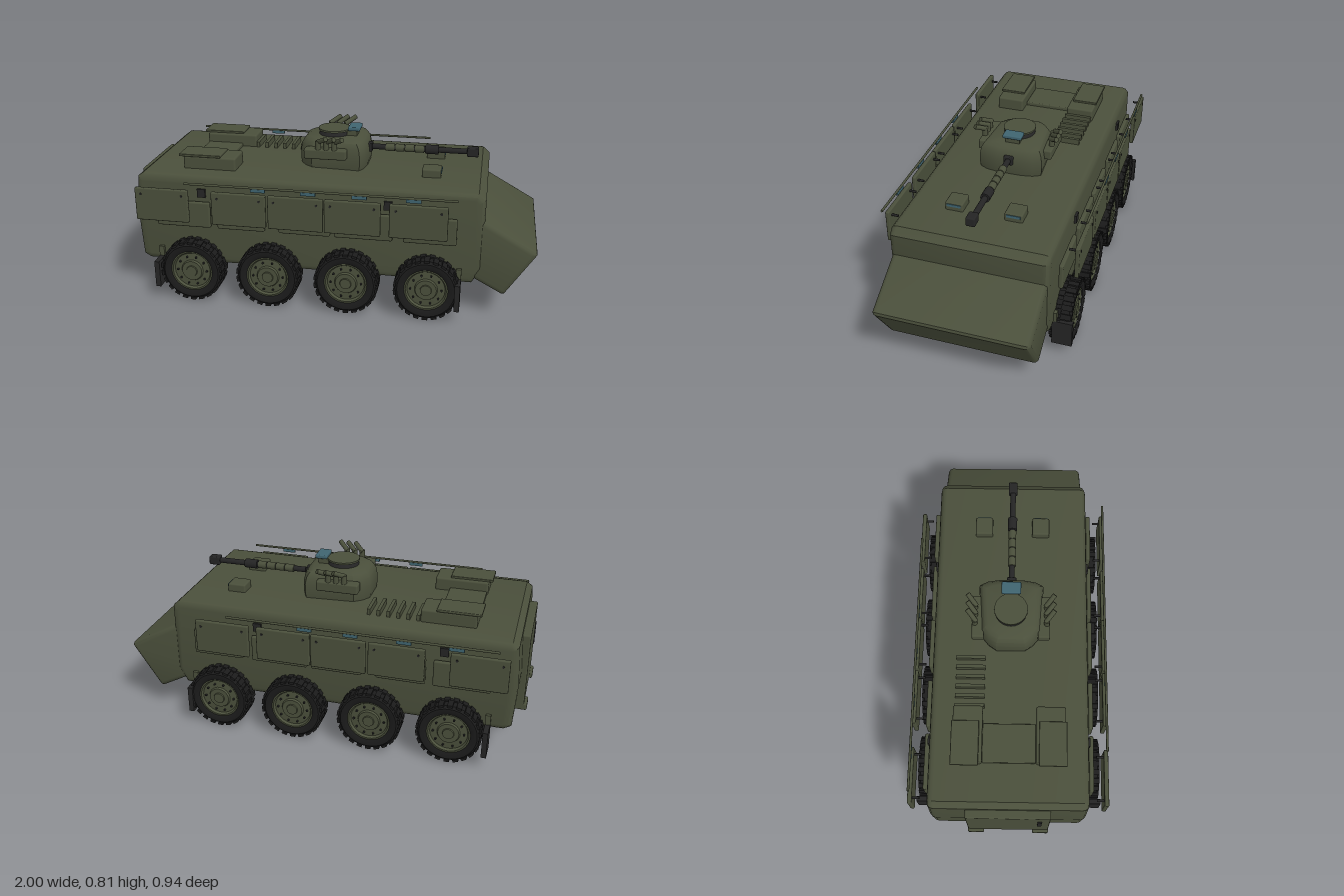
import * as THREE from 'three';
import { toCreasedNormals } from 'three/addons/utils/BufferGeometryUtils.js';
import { RoundedBoxGeometry } from 'three/addons/geometries/RoundedBoxGeometry.js';

const paint = (name, color) => {
  const m = new THREE.MeshStandardMaterial({ color });
  m.name = name;
  return m;
};

export function createModel() {
  const root = new THREE.Group();
  root.name = 'armouredVehicle';
  const green = paint('olive armour', 0x4a4f3b);
  const black = paint('tyre rubber', 0x1b1b1b);
  const dark = paint('dark metal', 0x242424);
  const glass = paint('vision glass', 0x3f6470);

  const add = (name, geo, mat, x = 0, y = 0, z = 0, parent = root) => {
    const m = new THREE.Mesh(geo, mat);
    m.name = name;
    m.position.set(x, y, z);
    parent.add(m);
    return m;
  };
  // Box given by its limits on each axis
  const box = (name, mat, [x0, x1], [y0, y1], [z0, z1], round = 0) => {
    const s = [x1 - x0, y1 - y0, Math.abs(z1 - z0)];
    const geo = round ? new RoundedBoxGeometry(...s, 2, round) : new THREE.BoxGeometry(...s);
    return add(name, geo, mat, (x0 + x1) / 2, (y0 + y1) / 2, (z0 + z1) / 2);
  };
  // Side profile extruded across the vehicle with rounded edges
  const slab = (name, pts, half, bevel) => {
    const shape = new THREE.Shape(pts.map(p => new THREE.Vector2(...p)));
    const geo = new THREE.ExtrudeGeometry(shape, {
      depth: 2 * (half - bevel), bevelThickness: bevel, bevelSize: bevel,
      bevelOffset: -bevel, bevelSegments: 3,
    }).translate(0, 0, bevel - half);
    return add(name, toCreasedNormals(geo, 0.6), green);
  };
  const rod = (name, mat, r, a, b, sides = 14) => {
    const p = new THREE.Vector3(...a), q = new THREE.Vector3(...b);
    const d = q.clone().sub(p);
    const m = add(name, new THREE.CylinderGeometry(r, r, d.length(), sides), mat);
    m.position.copy(p).add(q).multiplyScalar(0.5);
    m.quaternion.setFromUnitVectors(new THREE.Vector3(0, 1, 0), d.normalize());
    return m;
  };

  // Hull and drooping nose
  slab('hull', [[-0.91, 0.17], [0.7, 0.17], [0.745, 0.25], [0.745, 0.595], [0.71, 0.627],
    [-0.915, 0.627], [-0.945, 0.605], [-0.958, 0.4], [-0.945, 0.19]], 0.377, 0.032);
  slab('nose', [[0.6, 0.25], [0.84, 0.122], [0.857, 0.124], [0.995, 0.335], [0.992, 0.35],
    [0.7, 0.514], [0.6, 0.5]], 0.368, 0.025);

  // Rear ramp with hinges and handle
  box('rearRamp', green, [-0.985, -0.94], [0.2, 0.59], [-0.2, 0.2], 0.008);
  box('rampHandle', dark, [-0.99, -0.98], [0.38, 0.5], [0.14, 0.16]);
  for (const s of [-1, 1]) box('rampHinge', green, [-1, -0.94], [0.19, 0.225], [s * 0.12, s * 0.2], 0.008);

  // Wheels
  const v = pts => pts.map(p => new THREE.Vector2(...p));
  const tyreGeo = toCreasedNormals(new THREE.LatheGeometry(v([[0.104, -0.045], [0.118, -0.052], [0.137, -0.052],
    [0.149, -0.04], [0.149, 0.04], [0.137, 0.052], [0.118, 0.052], [0.104, 0.045]]), 40), 0.6);
  const hubGeo = toCreasedNormals(new THREE.LatheGeometry(v([[0, -0.035], [0.107, -0.035], [0.107, 0.042],
    [0.097, 0.044], [0.09, 0.032], [0.055, 0.034], [0.05, 0.044], [0.028, 0.044], [0.026, 0.05], [0, 0.05]]), 32), 0.5);
  const lugGeo = new THREE.BoxGeometry(0.011, 0.052, 0.026);
  const boltGeo = new THREE.CylinderGeometry(0.005, 0.005, 0.012, 6);
  const axles = [-0.665, -0.28, 0.105, 0.49];
  for (const x of axles) {
    rod('axle', dark, 0.025, [x, 0.156, -0.37], [x, 0.156, 0.37]);
    for (const s of [-1, 1]) {
      const wheel = new THREE.Group();
      wheel.name = 'wheel';
      wheel.position.set(x, 0.156, s * 0.404);
      wheel.rotation.x = s * Math.PI / 2;
      root.add(wheel);
      add('tyre', tyreGeo, black, 0, 0, 0, wheel);
      add('hub', hubGeo, green, 0, 0, 0, wheel);
      for (let i = 0; i < 44; i++) {
        const a = i * Math.PI / 22;
        const lug = add('treadLug', lugGeo, black, 0.15 * Math.cos(a), i % 2 ? 0.025 : -0.025, 0.15 * Math.sin(a), wheel);
        lug.rotation.y = -a;
        if (i < 10) {
          const b = i * Math.PI / 5;
          add('wheelBolt', boltGeo, dark, 0.074 * Math.cos(b), 0.036, 0.074 * Math.sin(b), wheel);
        }
      }
    }
  }

  // Side armour, rails and mud flaps
  const upper = [[-0.92, -0.655], [-0.54, -0.275], [-0.265, 0], [0.005, 0.27], [0.31, 0.58]];
  const lower = [[-0.84, -0.57], [-0.535, -0.3], [-0.23, 0.02], [0.04, 0.32], [0.37, 0.62]];
  for (const s of [-1, 1]) {
    for (const [x0, x1] of upper) {
      box('upperArmourPanel', green, [x0, x1], [0.422, 0.587], [s * 0.448, s * 0.469], 0.006);
      for (const x of [x0 + 0.03, x1 - 0.03])
        rod('panelBolt', dark, 0.006, [x, 0.557, s * 0.415], [x, 0.557, s * 0.472], 8);
    }
    for (const [x0, x1] of lower)
      box('lowerArmourPanel', green, [x0, x1], [0.375, 0.506], [s * 0.386, s * 0.408], 0.008);
    for (const x of [-0.615, 0.295])
      box('sideLatch', dark, [x - 0.02, x + 0.02], [0.525, 0.567], [s * 0.37, s * 0.388]);
    const start = s < 0 ? -0.87 : -0.67;
    rod('sideRail', green, 0.006, [start, 0.621, s * 0.462], [start + 1.29, 0.621, s * 0.462], 8);
    const blocks = s < 0 ? [-0.68, -0.44, -0.19, 0.03] : [-0.31, -0.07, 0.17, 0.42];
    for (const x of blocks)
      box('railVisionBlock', glass, [x - 0.035, x + 0.035], [0.601, 0.617], [s * 0.457, s * 0.467]);
    for (const [x0, x1] of [[-0.85, -0.825], [0.625, 0.65]]) {
      box('mudFlap', dark, [x0, x1], [0.065, 0.2], [s * 0.37, s * 0.468]);
      box('flapBracket', green, [x0, x1], [0.195, 0.25], [s * 0.36, s * 0.392]);
    }
  }

  // Deck stowage, periscopes and cooling slats
  for (const s of [-1, 1]) {
    box('stowageBox', green, [-0.74, -0.475], [0.62, 0.69], [s * 0.125, s * 0.265], 0.01);
    box('stowageLid', green, [-0.76, -0.55], [0.688, 0.701], [s * 0.14, s * 0.27], 0.004);
    box('periscope', green, [0.43, 0.522], [0.62, 0.667], [s * 0.1, s * 0.187], 0.008);
    box('periscopeGlass', glass, [0.517, 0.525], [0.647, 0.66], [s * 0.11, s * 0.177]);
  }
  box('engineCover', green, [-0.735, -0.55], [0.62, 0.645], [-0.125, 0.125], 0.006);
  for (let i = 0; i < 6; i++) {
    const x = -0.465 + i * 0.048;
    box('coolingSlat', green, [x - 0.008, x + 0.008], [0.62, 0.656], [-0.26, -0.12]);
  }

  // Turret: one plan outline stacked in shrinking rings
  const half = [[0.152, 0.06], [0.142, 0.12], [0.122, 0.158], [-0.12, 0.142], [-0.16, 0.11], [-0.187, 0.07]];
  const plan = [...half.map(([x, z]) => [x, -z]), ...half.slice().reverse()];
  const rings = [[0.62, 0.97], [0.65, 1], [0.7, 1], [0.735, 0.96], [0.757, 0.88], [0.768, 0.76]];
  const at = (k, i) => {
    const [x, z] = plan[i % plan.length], [y, f] = rings[k];
    return [-0.03 + (x + 0.03) * f, y, z * f];
  };
  const tri = [];
  plan.forEach((_, i) => {
    for (let k = 0; k < rings.length - 1; k++)
      tri.push(...at(k, i), ...at(k, i + 1), ...at(k + 1, i + 1), ...at(k, i), ...at(k + 1, i + 1), ...at(k + 1, i));
    const t = rings.length - 1;
    tri.push(-0.03, rings[t][0], 0, ...at(t, i), ...at(t, i + 1));
  });
  const turretGeo = new THREE.BufferGeometry();
  turretGeo.setAttribute('position', new THREE.Float32BufferAttribute(tri, 3));
  add('turret', toCreasedNormals(turretGeo, 0.6), green);
  rod('turretRing', green, 0.14, [-0.02, 0.62, 0], [-0.02, 0.64, 0], 32);

  // Commander hatch and sight
  add('hatchRing', new THREE.CylinderGeometry(0.065, 0.08, 0.025, 24), dark, -0.03, 0.776, 0);
  add('hatchLid', new THREE.CylinderGeometry(0.08, 0.08, 0.009, 24), green, -0.03, 0.793, 0);
  box('sightMount', green, [0.04, 0.09], [0.755, 0.796], [-0.035, 0.035]);
  box('sight', glass, [0.045, 0.105], [0.794, 0.814], [-0.047, 0.047], 0.006);

  // Smoke launchers on both turret flanks
  for (const s of [-1, 1]) {
    box('launcherBase', green, [-0.15, 0.06], [0.685, 0.735], [s * 0.13, s * 0.188], 0.008);
    for (let i = 0; i < 3; i++) {
      const x = -0.08 + i * 0.04;
      rod('launcherPost', green, 0.014, [x, 0.7, s * 0.173], [x, 0.776, s * 0.173], 10);
      rod('smokeTube', green, 0.012, [x - 0.005, 0.767, s * 0.165], [x + 0.045, 0.797, s * 0.209], 10);
    }
  }

  // Gun
  box('mantlet', dark, [0.11, 0.165], [0.685, 0.729], [-0.023, 0.023], 0.005);
  const gun = (name, mat, r, x0, x1) => rod(name, mat, r, [x0, 0.708, 0], [x1, 0.708, 0], 16);
  gun('barrel', dark, 0.014, 0.13, 0.68);
  for (let i = 0; i < 4; i++) gun('barrelSleeve', green, 0.019, 0.232 + i * 0.049, 0.276 + i * 0.049);
  gun('barrelCollar', dark, 0.023, 0.43, 0.495);
  box('muzzleBrake', dark, [0.635, 0.692], [0.686, 0.73], [-0.022, 0.022], 0.006);

  return root;
}
